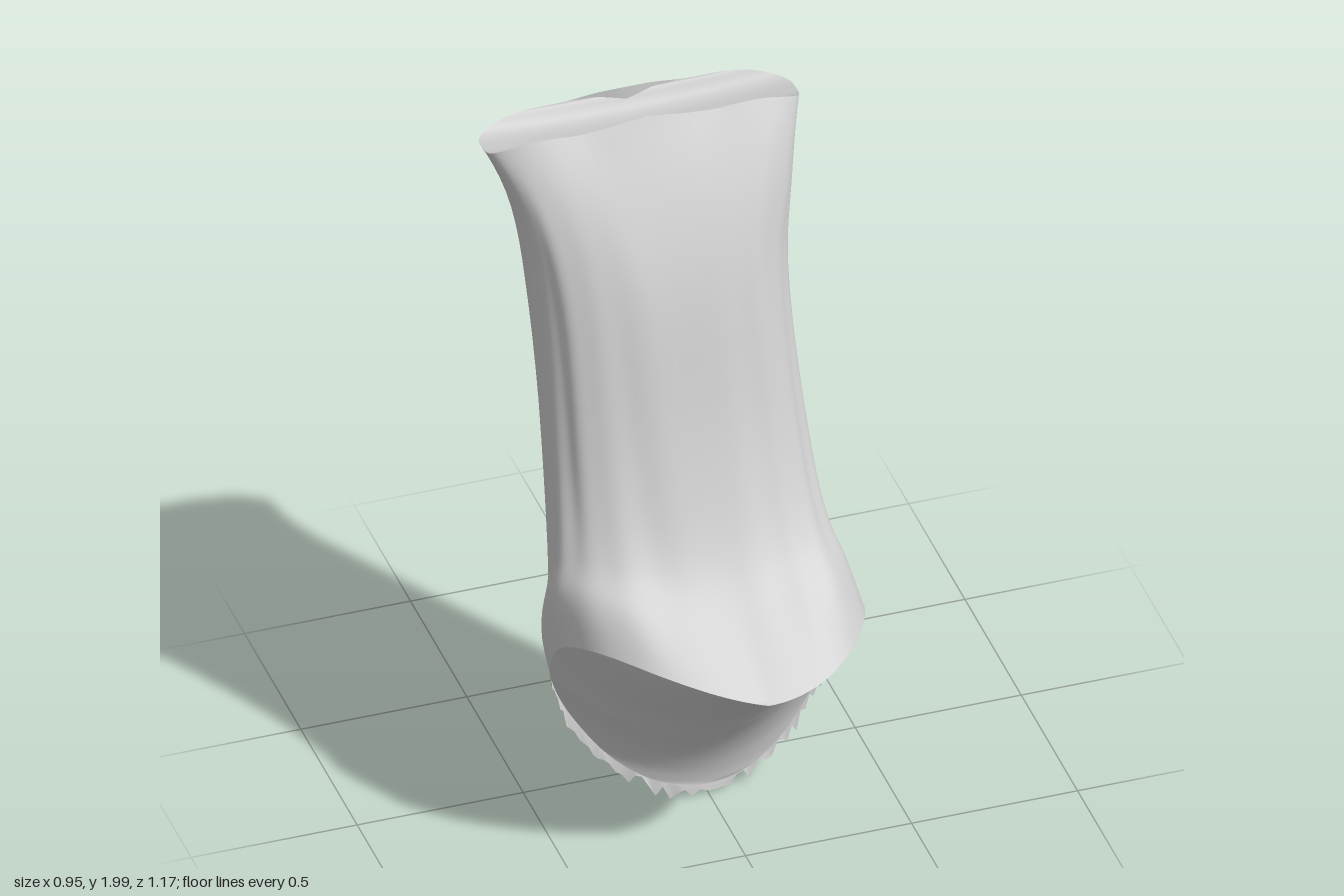
import * as THREE from 'three';

const N = 144; // columns around the trunk
const K = 30; // rows along the trunk

// Cross-sections from the flared foot to the top:
// front [y, z], back [y, z], side sag [y, z], right and left half-width,
// squareness of front and back, extra height of the right side, sideways shift of the front
const RINGS = [
  { f: [0.58, 0.59], b: [0.04, 0.17], sag: [0.26, -0.19], r: 0.47, l: 0.45, n: [2, 2.15], lift: 0.09, skew: 0.04 },
  { f: [0.70, 0.45], b: [0.22, 0.07], sag: [0.25, -0.14], r: 0.47, l: 0.415, n: [2.2, 2.8], lift: 0.08, skew: 0.03 },
  { f: [0.86, 0.28], b: [0.52, -0.04], sag: [0.14, -0.05], r: 0.435, l: 0.375, n: [2.5, 3.3], lift: 0.03, skew: 0.02 },
  { f: [1.15, 0.10], b: [0.95, -0.23], sag: [0, 0], r: 0.40, l: 0.36, n: [2.8, 3.3], lift: 0, skew: 0.01 },
  { f: [1.58, -0.10], b: [1.42, -0.46], sag: [0, 0], r: 0.375, l: 0.37, n: [3, 3], lift: 0, skew: 0 },
  { f: [1.78, -0.22], b: [1.74, -0.54], sag: [0, 0], r: 0.395, l: 0.42, n: [3.6, 3], lift: 0, skew: 0 },
  { f: [2, -0.38], b: [1.98, -0.58], sag: [-0.01, 0], r: 0.465, l: 0.48, n: [5, 3], lift: 0, skew: 0 },
];

const signedPow = (v, p) => Math.sign(v) * Math.abs(v) ** p;

// Repeatable noise in 0..1
const hash = (i) => {
  const v = Math.sin(i * 127.1 + 11.7) * 43758.5453;
  return v - Math.floor(v);
};

// Point of one cross-section at angle a (0 = front, quarter turn = +x)
function sectionPoint(ring, a) {
  const n = ring.n[Math.cos(a) > 0 ? 0 : 1];
  const c = signedPow(Math.cos(a), 2 / n);
  const s = signedPow(Math.sin(a), 2 / n);
  const at = (k) => (ring.f[k] + ring.b[k]) / 2 + (c * (ring.f[k] - ring.b[k])) / 2;
  const raise = ring.lift * Math.max(0, -s) * Math.max(0, c + 0.3);
  return new THREE.Vector3(
    s * (s > 0 ? ring.l : ring.r) + ring.skew * Math.max(0, c) * (1 - s * s),
    at(0) + (1 - c * c) * ring.sag[0] + raise,
    at(1) + (1 - c * c) * (1 - 0.5 * c) * ring.sag[1] - raise * 0.6,
  );
}

// Grid of points to an indexed smooth geometry
function gridGeometry(rows, wrap, flip) {
  const cols = rows[0].length;
  const index = [];
  for (let j = 0; j < rows.length - 1; j++) {
    for (let i = 0; i < (wrap ? cols : cols - 1); i++) {
      const n = (i + 1) % cols;
      const a = j * cols + i, b = j * cols + n, c = (j + 1) * cols + n, d = (j + 1) * cols + i;
      if (flip) index.push(a, c, b, a, d, c);
      else index.push(a, b, c, a, c, d);
    }
  }
  const g = new THREE.BufferGeometry().setFromPoints(rows.flat());
  g.setIndex(index);
  g.computeVertexNormals();
  return g;
}

// End face: strips across the rim from -x to +x, bulged by [y, z] in the middle
function capRows(rim, bulge) {
  const rows = [];
  for (let i = 0; i <= N / 2; i++) {
    const right = rim[(N - i) % N], left = rim[i];
    const w = Math.sin((i / N) * Math.PI * 2) ** 2;
    const row = [];
    for (let j = 0; j <= 16; j++) {
      const t = j / 16, m = 4 * t * (1 - t) * w;
      const p = right.clone().lerp(left, t);
      p.y += m * bulge[0];
      p.z += m * bulge[1];
      row.push(p);
    }
    rows.push(row);
  }
  return rows;
}

export function createModel() {
  const group = new THREE.Group();
  const material = new THREE.MeshStandardMaterial({ color: 0xcccccc, side: THREE.DoubleSide });

  // Columns with slanting grain, deeper on the back, and one long furrow down the back
  const columns = [];
  for (let i = 0; i < N; i++) {
    const a = (i / N) * Math.PI * 2;
    const back = (1 - Math.cos(a)) / 2;
    const pts = RINGS.map((ring) => sectionPoint(ring, a));
    const curve = new THREE.CatmullRomCurve3(pts, false, 'centripetal');
    const column = [];
    for (let k = 0; k <= K; k++) {
      const v = k / K;
      const p = curve.getPoint(v);
      const grain = Math.sin(a * 9 + v * 4) + 0.7 * Math.sin(a * 17 - v * 3);
      const depth = (0.002 + 0.007 * back) * Math.sin(Math.PI * Math.min(1, v + 0.05));
      p.x += Math.sin(a) * grain * depth;
      p.z += Math.cos(a) * grain * depth;
      if (back > 0.5) p.z += 0.018 * v * Math.exp(-((p.x / 0.08) ** 2));
      // Uneven top rim, highest in the middle
      p.y -= v ** 12 * (0.15 * p.x * p.x + 0.008 * (1 - Math.cos(p.x * 18)));
      column.push(p);
    }
    columns.push(column);
  }
  const rows = Array.from({ length: K + 1 }, (_, k) => columns.map((col) => col[k]));

  const add = (name, geometry) => {
    const mesh = new THREE.Mesh(geometry, material);
    mesh.name = name;
    group.add(mesh);
  };
  add('topFace', gridGeometry(capRows(rows[K], [-0.02, 0]), false, false));
  add('footFace', gridGeometry(capRows(rows[0], [-0.2, 0.165]), false, true));

  // Splintered lower edge of the trunk
  rows[0].forEach((p, i) => {
    const back = (1 - Math.cos((i / N) * Math.PI * 2)) / 2;
    if (back > 0.65) p.y = Math.max(0, p.y - 0.06 * hash(i));
  });
  add('trunk', gridGeometry(rows, true, false));
  return group;
}
